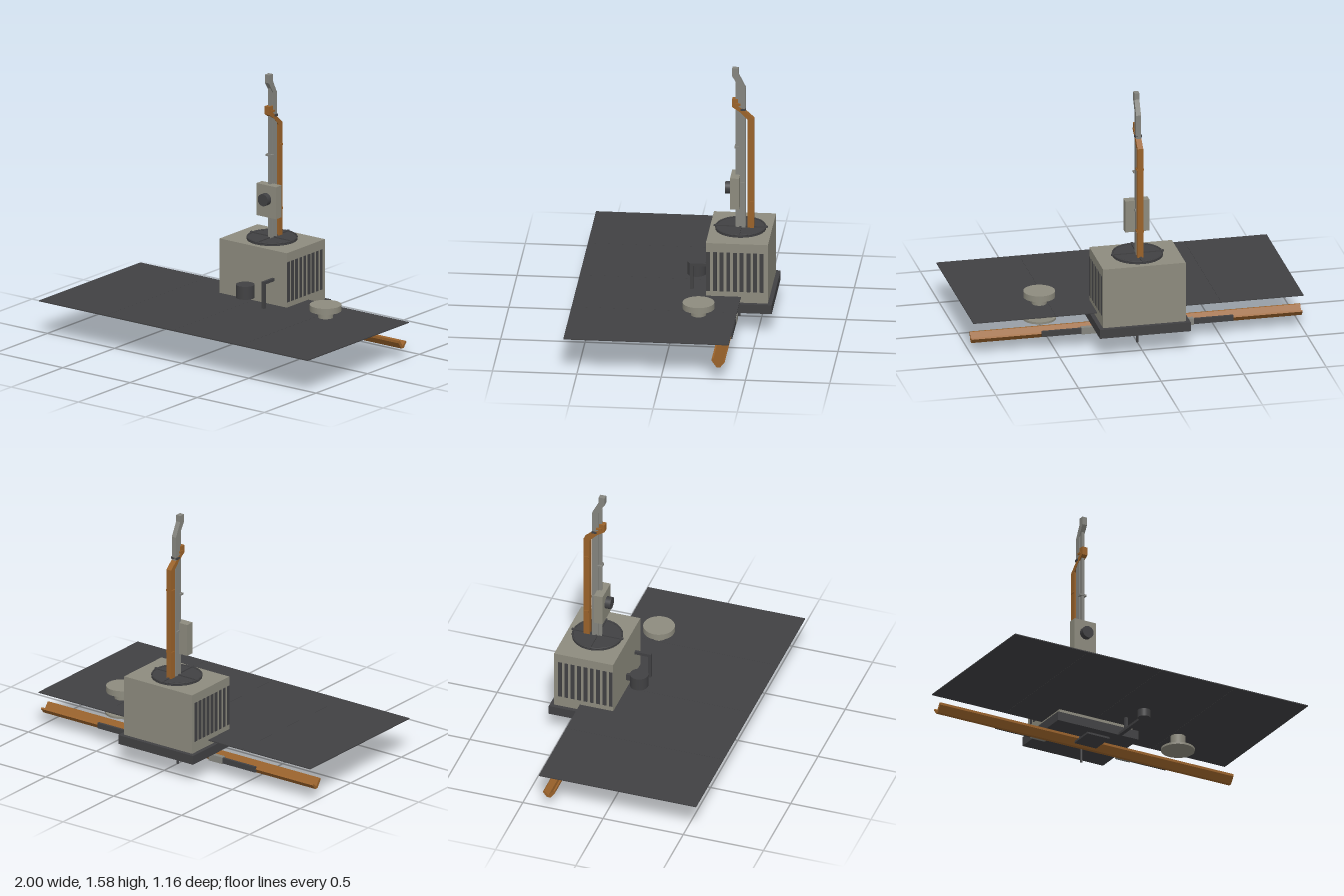
import * as THREE from 'three';

const mat = (name, color, side = THREE.FrontSide) => {
  const m = new THREE.MeshStandardMaterial({ color, side });
  m.name = name;
  return m;
};

export function createModel() {
  const model = new THREE.Group();
  model.name = 'mastUnit';
  const dark = mat('darkSteel', 0x414143);
  const beige = mat('beigePaint', 0x8d8b7e);
  const orange = mat('orangeBrown', 0x9a622a);
  const grey = mat('greyMetal', 0x85857f);

  const add = (name, geo, m, x = 0, y = 0, z = 0) => {
    const mesh = new THREE.Mesh(geo, m);
    mesh.name = name;
    mesh.position.set(x, y, z);
    model.add(mesh);
    return mesh;
  };
  // Box given by its limits on each axis
  const box = (name, m, x0, x1, y0, y1, z0, z1) =>
    add(name, new THREE.BoxGeometry(x1 - x0, y1 - y0, z1 - z0), m,
      (x0 + x1) / 2, (y0 + y1) / 2, (z0 + z1) / 2);
  // Upright cylinder given by its bottom and top
  const post = (name, m, r, x, y0, y1, z, n = 32) =>
    add(name, new THREE.CylinderGeometry(r, r, y1 - y0, n), m, x, (y0 + y1) / 2, z);
  // Outline of [z, y] points extruded along x
  const profile = (name, m, pts, width) => {
    const shape = new THREE.Shape(pts.map(([z, y]) => new THREE.Vector2(-z, y)));
    const geo = new THREE.ExtrudeGeometry(shape, { depth: width, bevelEnabled: false });
    geo.translate(0, 0, -width / 2).rotateY(Math.PI / 2);
    return add(name, geo, m);
  };

  // Wide flat deck in four panels
  for (let i = 0; i < 4; i++) {
    const x = -1 + i * 0.5;
    box('deckPanel', dark, x, x + 0.499, 0.217, 0.223, -0.4, 0.58);
  }

  // Housing on its plinth
  box('plinth', dark, -0.275, 0.275, 0.13, 0.186, -0.585, -0.165);
  box('housing', beige, -0.25, 0.25, 0.186, 0.558, -0.56, -0.192);

  // Vent slots on both sides
  for (const s of [-1, 1]) {
    for (let i = 0; i < 9; i++) {
      const z = -0.206 - i * 0.0397;
      box('ventSlot', dark, s * 0.251 - 0.002, s * 0.251 + 0.002, 0.255, 0.502, z - 0.0115, z + 0.0115);
    }
  }

  // Turntable with a raised rim and cross bars
  post('turntable', dark, 0.15, 0, 0.556, 0.57, -0.375, 48);
  const rim = add('turntableRim', new THREE.TorusGeometry(0.147, 0.005, 6, 48), dark, 0, 0.572, -0.375);
  rim.rotation.x = Math.PI / 2;
  box('turntableBar', dark, -0.16, 0.16, 0.568, 0.577, -0.382, -0.368);
  box('turntableBar', dark, -0.007, 0.007, 0.568, 0.577, -0.535, -0.215);

  // Grey mast with a cranked head and a front guide
  profile('mast', grey, [[-0.365, 0.57], [-0.405, 0.57], [-0.405, 1.455], [-0.362, 1.54],
    [-0.362, 1.58], [-0.325, 1.58], [-0.325, 1.53], [-0.365, 1.465]], 0.03);
  box('mastGuide', grey, -0.009, 0.009, 0.57, 1.49, -0.365, -0.345);

  // Orange rear strut hooking forward over the mast
  profile('rearStrut', orange, [[-0.418, 0.57], [-0.455, 0.57], [-0.455, 1.262], [-0.385, 1.325],
    [-0.36, 1.34], [-0.36, 1.385], [-0.325, 1.385], [-0.325, 1.335], [-0.37, 1.305], [-0.418, 1.255]], 0.034);

  // Cross pins
  for (const [y, z, m] of [[1.128, -0.437, orange], [0.735, -0.437, orange], [1.352, -0.36, orange],
    [1.32, -0.39, dark], [1.08, -0.355, grey], [0.852, -0.39, grey]]) {
    box('crossPin', m, -0.022, 0.022, y - 0.006, y + 0.006, z - 0.015, z + 0.015);
  }

  // Carriage box with a round knob
  box('carriage', beige, -0.073, 0.073, 0.705, 0.902, -0.372, -0.318);
  const knob = post('carriageKnob', dark, 0.037, 0, 0, 0.036, 0);
  knob.position.set(0, 0.817, -0.302);
  knob.rotation.x = Math.PI / 2;

  // Drum on the housing front
  post('frontDrum', dark, 0.055, 0, 0.26, 0.34, -0.115);
  box('drumArm', dark, -0.01, 0.01, 0.285, 0.325, -0.195, -0.16);

  // Bent lever
  box('leverRod', dark, 0.141, 0.159, 0.135, 0.388, -0.108, -0.09);
  box('leverTop', dark, 0.141, 0.159, 0.37, 0.388, -0.195, -0.09);

  // Pedal on a low arm
  box('pedalArm', dark, 0.138, 0.162, 0.13, 0.145, -0.2, 0.09);
  post('pedal', dark, 0.038, 0.15, 0.13, 0.177, 0.113);

  // Spool
  post('spoolFoot', beige, 0.1, 0.55, 0.127, 0.14, -0.178);
  post('spoolStem', beige, 0.045, 0.55, 0.14, 0.268, -0.178);
  post('spoolTop', beige, 0.094, 0.55, 0.265, 0.302, -0.178);

  // Long trough rail
  profile('rail', orange, [[-0.3, 0.13], [-0.31, 0.13], [-0.34, 0.09], [-0.368, 0.115],
    [-0.376, 0.107], [-0.35, 0.076], [-0.328, 0.076], [-0.3, 0.115]], 2);

  // Splice arms and clips along the rail
  for (const s of [-1, 1]) {
    const a = s * 0.46, c = s * 0.29;
    box('spliceArm', dark, a - 0.12, a + 0.12, 0.088, 0.122, -0.381, -0.365);
    box('spliceClip', grey, c - 0.05, c + 0.05, 0.084, 0.126, -0.383, -0.355);
  }

  // Centre clamp, tongue and ground pin
  box('centreClamp', dark, -0.055, 0.055, 0.092, 0.132, -0.378, -0.297);
  box('clampFace', grey, -0.05, 0.05, 0.102, 0.122, -0.297, -0.291);
  box('clampTongue', dark, -0.075, 0.075, 0.088, 0.1, -0.325, -0.163);
  post('groundPin', dark, 0.007, 0, 0, 0.13, -0.366, 12);

  return model;
}
